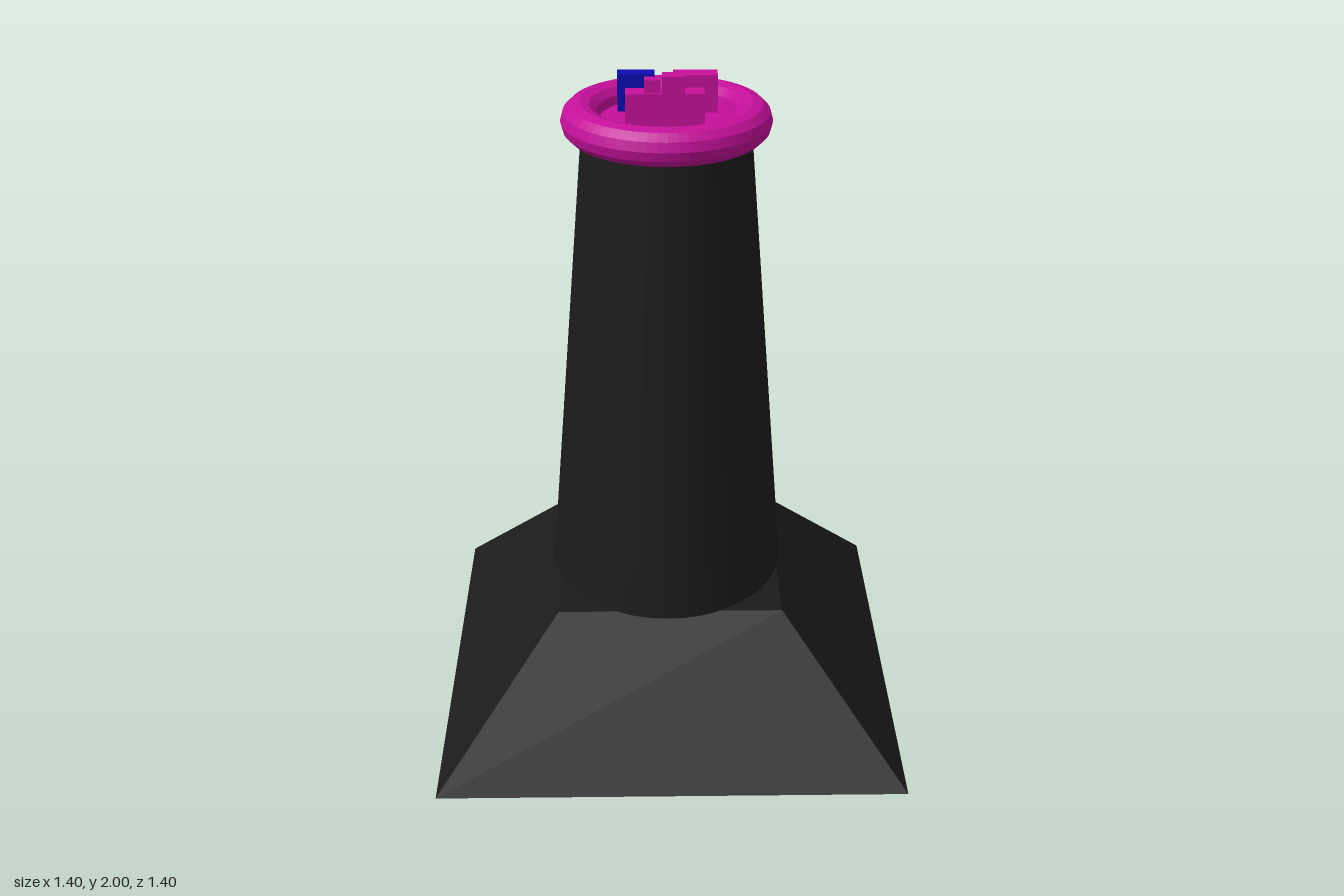
import * as THREE from 'three';

const BLACK = 0x1b1b1b, MAGENTA = 0xc4109a, BLUE = 0x0c0cb4, GREEN = 0x12b436, YELLOW = 0xb4b414;
const CZ = -0.055, CX = -0.006; // tower axis

const mat = (color, extra = {}) => new THREE.MeshStandardMaterial({ color, ...extra });
const thin = { side: THREE.DoubleSide };

function add(parent, name, geometry, material) {
  const mesh = new THREE.Mesh(geometry, material);
  mesh.name = name;
  parent.add(mesh);
  return mesh;
}

// Apply a rule to every vertex
function reshape(geometry, rule) {
  const p = geometry.attributes.position, v = new THREE.Vector3();
  for (let i = 0; i < p.count; i++) {
    rule(v.fromBufferAttribute(p, i));
    p.setXYZ(i, v.x, v.y, v.z);
  }
  geometry.computeVertexNormals();
  return geometry;
}

// Outer shell: half width and half depth shrink with height
const Y0 = 0.393, Y1 = 1.84;
const halfWidth = y => 0.362 - 0.081 * (y - Y0);
const halfDepth = y => 0.405 - 0.104 * (y - Y0);
const toShell = v => {
  v.y = Y0 + v.y * (Y1 - Y0);
  v.x *= halfWidth(v.y);
  v.z *= halfDepth(v.y);
};

// Inner round core, seen through the open back of the shell
const CORE0 = 0.43, CORE1 = 1.82;
const coreRadius = y => 0.31 - 0.052 * (y - CORE0);

// Curved strip lying on the core; angles in degrees from the back, + towards +x
function strip(a0, a1, y0, y1, offset) {
  const g = new THREE.CylinderGeometry(coreRadius(y1) + offset, coreRadius(y0) + offset, y1 - y0, 8, 1, true,
    Math.PI - THREE.MathUtils.degToRad(a1), THREE.MathUtils.degToRad(a1 - a0));
  return g.translate(0, (y0 + y1) / 2, 0);
}

function windowFrame(name, color, a0, a1, y0, y1, side, rail, offset) {
  const group = new THREE.Group();
  group.name = name;
  const m = mat(color, thin);
  add(group, 'bottomRail', strip(a0, a1, y0, y0 + rail, offset), m);
  add(group, 'topRail', strip(a0, a1, y1 - rail, y1, offset), m);
  add(group, 'sideRailA', strip(a0, a0 + side, y0 + rail, y1 - rail, offset), m);
  add(group, 'sideRailB', strip(a1 - side, a1, y0 + rail, y1 - rail, offset), m);
  return group;
}

export function createModel() {
  const model = new THREE.Group();
  model.name = 'tower';
  const black = mat(BLACK), blackThin = mat(BLACK, thin), magenta = mat(MAGENTA);

  // Sloped square base
  add(model, 'base', reshape(new THREE.BoxGeometry(1.4, 0.395, 1.4).translate(0, 0.1975, 0), v => {
    if (v.y > 0.2) {
      v.x = Math.sign(v.x) * 0.342;
      v.z = v.z > 0 ? 0.312 : -0.374;
    }
  }), black);

  const shaft = new THREE.Group();
  shaft.name = 'shaft';
  shaft.position.set(CX, 0, CZ);
  model.add(shaft);

  // Tapered shell with a quarter left open at the back
  const open = Math.PI / 4;
  add(shaft, 'shell', reshape(
    new THREE.CylinderGeometry(1, 1, 1, 48, 1, true, Math.PI + open, 1.5 * Math.PI).translate(0, 0.5, 0),
    toShell), blackThin);
  add(shaft, 'shellUnderside', reshape(
    new THREE.CircleGeometry(1, 48).rotateX(Math.PI / 2), v => {
      toShell(v);
      v.z = Math.max(v.z, -halfDepth(Y0) * Math.SQRT1_2);
    }), blackThin);
  for (const s of [-1, 1]) {
    add(shaft, 'openingSide', reshape(new THREE.PlaneGeometry(1, 1).translate(0.5, 0.5, 0), v => {
      const r = v.x;
      v.x = s * r * Math.SQRT1_2;
      v.z = -r * Math.SQRT1_2;
      toShell(v);
    }), blackThin);
  }

  // Round core
  add(shaft, 'core', new THREE.CylinderGeometry(coreRadius(CORE1), coreRadius(CORE0), CORE1 - CORE0, 48)
    .translate(0, (CORE0 + CORE1) / 2, 0), black);

  // Window frames on the back
  shaft.add(
    windowFrame('upperWindow', GREEN, 0, 37, 1.47, 1.67, 5, 0.034, 0.008),
    windowFrame('middleWindow', YELLOW, -36, 0, 1.145, 1.38, 4, 0.036, 0.003),
    windowFrame('lowerWindow', MAGENTA, 0, 36, 0.68, 1.01, 6, 0.064, 0.007));

  // Rounded rim and the deck inside it
  add(shaft, 'rim', new THREE.TorusGeometry(0.25, 0.056, 12, 64).rotateX(Math.PI / 2).translate(0, 1.84, 0),
    mat(MAGENTA, { flatShading: true }));
  add(shaft, 'deck', new THREE.CylinderGeometry(0.245, 0.245, 0.02, 48).translate(0, 1.832, 0), magenta);

  // Blocks on the deck: x range, y range, z range
  const blocks = [
    ['blueBlock', BLUE, -0.148, -0.04, 1.84, 1.952, -0.17, -0.118],
    ['backBlock', MAGENTA, 0.014, 0.143, 1.84, 1.952, -0.168, -0.108],
    ['frontBlock', MAGENTA, -0.124, 0.1, 1.84, 1.952, 0.012, 0.072],
    ['smallBlock', MAGENTA, -0.07, -0.025, 1.95, 1.988, 0.024, 0.062],
    ['tallBlock', MAGENTA, -0.02, 0.044, 1.95, 2.0, 0.02, 0.07],
  ];
  for (const [name, color, x0, x1, y0, y1, z0, z1] of blocks) {
    add(model, name, new THREE.BoxGeometry(x1 - x0, y1 - y0, z1 - z0), mat(color))
      .position.set((x0 + x1) / 2, (y0 + y1) / 2, (z0 + z1) / 2);
  }
  return model;
}
